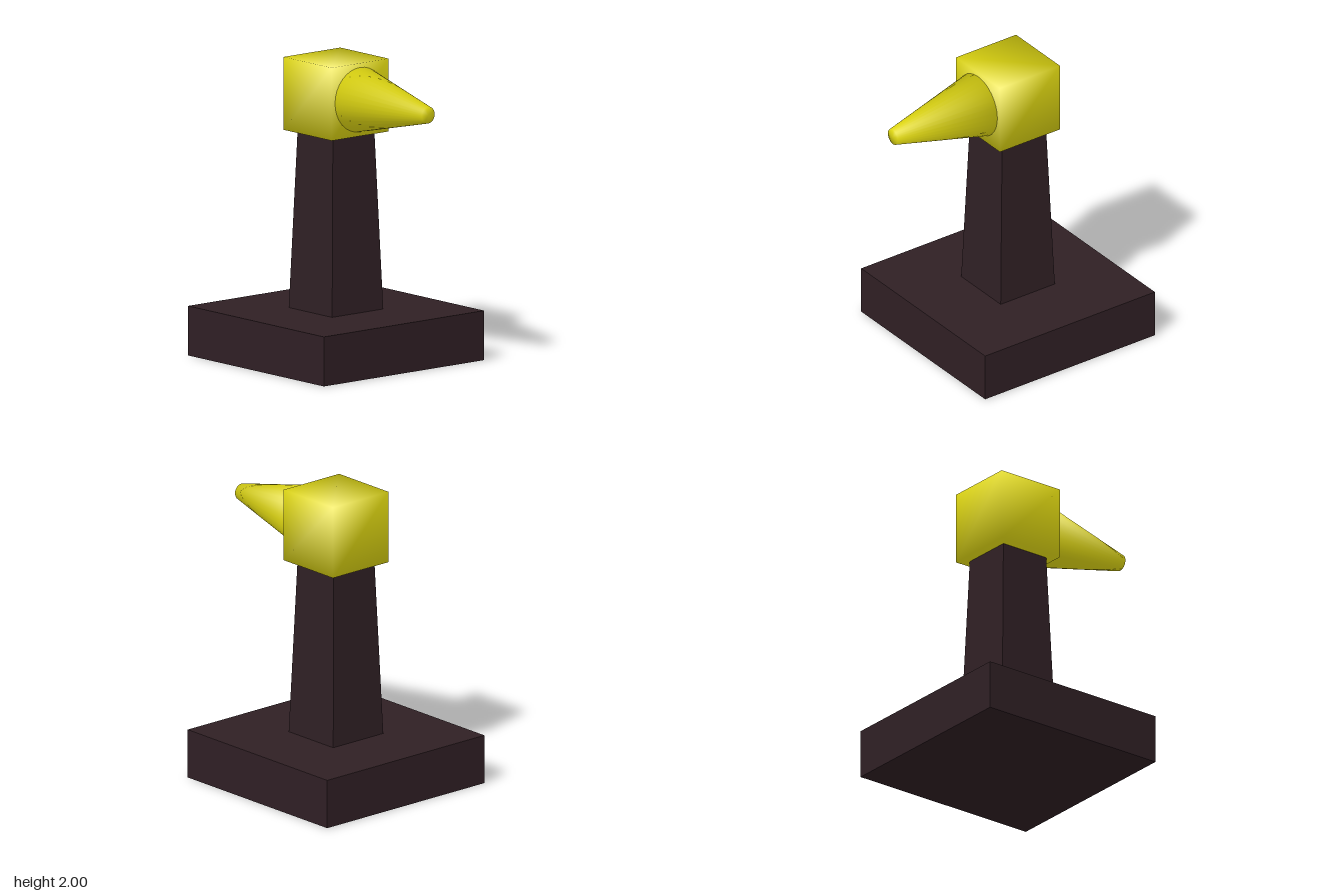
import * as THREE from 'three';

const CENTRE_Z = -0.1225;
const HEAD_Y = 1.757;

// Soft normals shared across every edge of a part, set by a rule on position
function setNormals(geometry, rule) {
  const p = geometry.attributes.position;
  const v = new THREE.Vector3();
  for (let i = 0; i < p.count; i++) {
    rule(v.fromBufferAttribute(p, i)).normalize();
    geometry.attributes.normal.setXYZ(i, v.x, v.y, v.z);
  }
  return geometry;
}

export function createModel() {
  const model = new THREE.Group();
  const dark = new THREE.MeshStandardMaterial({ color: 0x2f1f24, flatShading: true });
  const yellow = new THREE.MeshStandardMaterial({ color: 0xe2da12 });

  function add(name, geometry, material, y, z) {
    const mesh = new THREE.Mesh(geometry, material);
    mesh.name = name;
    mesh.position.set(0, y, z);
    model.add(mesh);
    return mesh;
  }

  // Square plinth
  add('base', new THREE.BoxGeometry(1.374, 0.33, 1.374), dark, 0.165, CENTRE_Z);

  // Tapered square column
  const column = new THREE.CylinderGeometry(
    0.178 * Math.SQRT2, 0.219 * Math.SQRT2, 1.187, 4, 1, false, Math.PI / 4);
  add('column', column, dark, 0.33 + 1.187 / 2, CENTRE_Z);

  // Cube head, softly shaded from corner to corner
  const head = setNormals(new THREE.BoxGeometry(0.486, 0.486, 0.486), (v) => v);
  add('head', head, yellow, HEAD_Y, CENTRE_Z);

  // Truncated cone beak, its rims blended into the end caps
  const length = 0.69;
  const slope = (0.215 - 0.055) / length;
  const beak = new THREE.CylinderGeometry(0.055, 0.215, length, 32);
  setNormals(beak, (v) => {
    const end = Math.sign(v.y);
    const r = Math.hypot(v.x, v.z);
    if (r < 1e-5) return v.set(0, end, 0);
    return v.set(v.x / r, slope + end, v.z / r);
  });
  beak.rotateX(Math.PI / 2);
  add('beak', beak, yellow, HEAD_Y, 0.12 + length / 2);

  return model;
}
